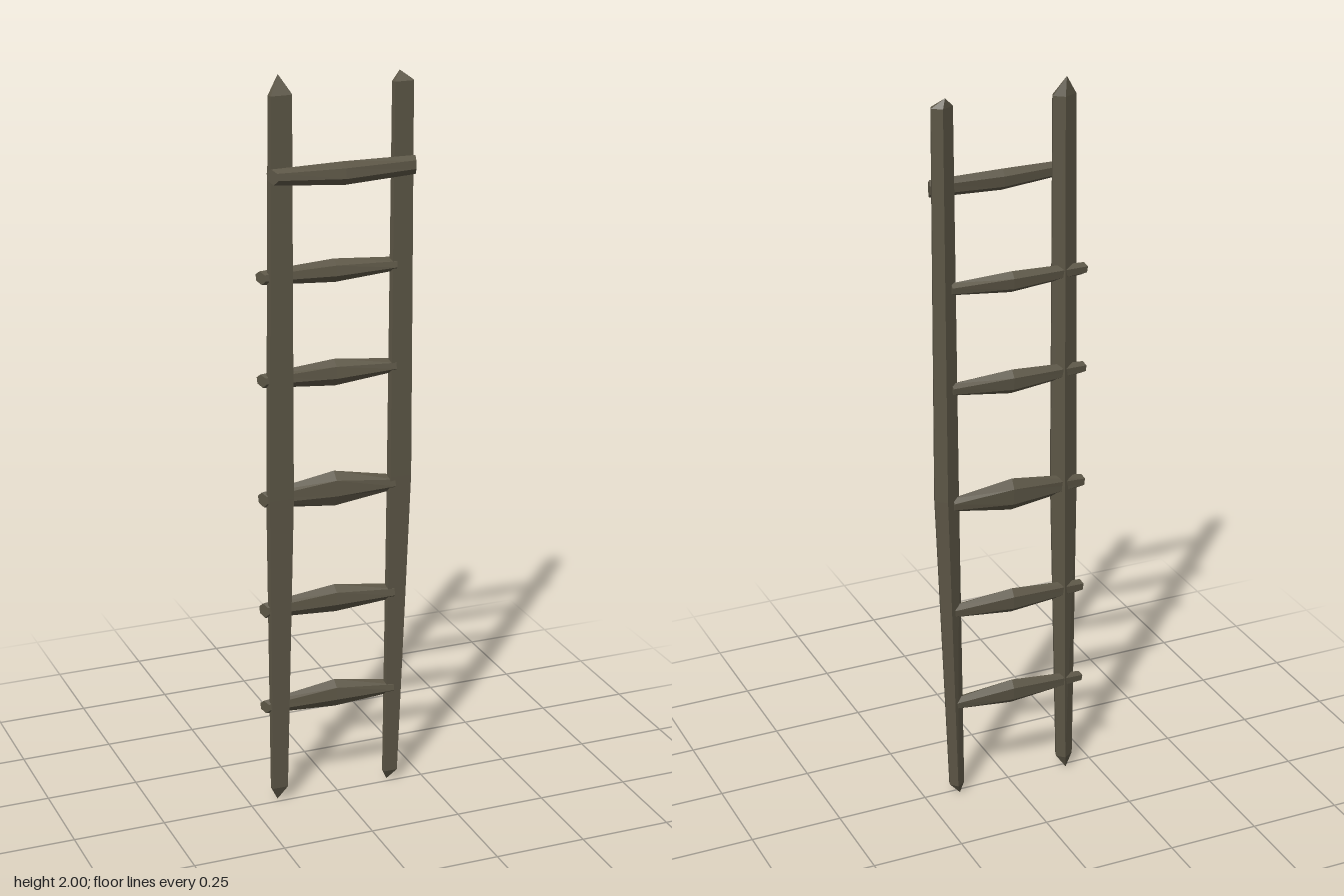
import * as THREE from 'three';

// Joins rings of points (counterclockwise seen from the far end) and closes both ends.
function loft(rings) {
  const pos = [];
  const tri = (a, b, c) => pos.push(...a, ...b, ...c);
  const n = rings[0].length;
  for (let r = 0; r < rings.length - 1; r++) {
    const a = rings[r], b = rings[r + 1];
    for (let i = 0; i < n; i++) {
      const j = (i + 1) % n;
      tri(a[i], a[j], b[j]);
      tri(a[i], b[j], b[i]);
    }
  }
  const first = rings[0], last = rings[rings.length - 1];
  for (let i = 1; i < n - 1; i++) {
    tri(first[0], first[i + 1], first[i]);
    tri(last[0], last[i], last[i + 1]);
  }
  const g = new THREE.BufferGeometry();
  g.setAttribute('position', new THREE.Float32BufferAttribute(pos, 3));
  g.computeVertexNormals();
  return g;
}

// Rail section: flat front, ridged back (x in half widths, z in units).
const RAIL = [[1, -0.012], [0.2, -0.035], [-1, -0.012], [-0.88, 0.003], [0.88, 0.003]];
const railRing = (y, cx, w, depth) =>
  RAIL.map(([x, z]) => [cx + x * w, y, -0.013 + (z + 0.013) * depth]);
const point = (x, y, z) => RAIL.map(() => [x, y, z]);

// Six-sided rung section at x, between heights lo and hi.
function rungRing(x, lo, hi, z, halfDepth, skew = 0) {
  const mid = (lo + hi) / 2, h = (hi - lo) / 2;
  const pts = [[1, -0.25], [0.55, 0.8], [-0.35, 1], [-1, 0.2], [-0.5, -0.85], [0.45, -1]];
  return pts.map(([py, pz]) => [x + skew * pz, mid + h * py, z + halfDepth * pz]);
}

export function createModel() {
  const group = new THREE.Group();
  const wood = new THREE.MeshStandardMaterial({ color: 0x5b5545, flatShading: true });
  const add = (name, geometry) => {
    const mesh = new THREE.Mesh(geometry, wood);
    mesh.name = name;
    group.add(mesh);
  };

  // Side rails, hewn to points at both ends
  add('rightRail', loft([
    point(-0.17, 0, -0.015),
    railRing(0.04, -0.166, 0.024, 0.8),
    railRing(0.88, -0.157, 0.038, 1),
    railRing(1.95, -0.149, 0.032, 0.85),
    point(-0.15, 2, -0.022),
  ]));
  add('leftRail', loft([
    point(0.152, 0, -0.015),
    railRing(0.03, 0.159, 0.021, 0.8),
    railRing(0.9, 0.18, 0.034, 1),
    railRing(1.96, 0.182, 0.029, 0.85),
    point(0.178, 1.985, -0.022),
  ]));

  // Rungs between the rails: [end low, end high, middle low, middle high]
  const rungs = [
    [0.265, 0.3, 0.25, 0.325],
    [0.545, 0.585, 0.53, 0.605],
    [0.86, 0.9, 0.835, 0.93],
    [1.19, 1.225, 1.17, 1.24],
    [1.465, 1.5, 1.45, 1.51],
  ];
  rungs.forEach(([lo, hi, midLo, midHi], i) => {
    add('rung' + (i + 1), loft([
      rungRing(-0.203, lo, hi, -0.015, 0.013, 0.009),
      rungRing(0, midLo, midHi, -0.02, 0.02),
      rungRing(0.165, lo, hi, -0.011, 0.017),
    ]));
  });

  // Top rung, fixed to the front of the rails
  add('topRung', loft([
    rungRing(-0.181, 1.73, 1.77, 0.019, 0.013, 0.011),
    rungRing(0.01, 1.713, 1.772, 0.017, 0.021),
    rungRing(0.208, 1.722, 1.77, 0.015, 0.013, -0.003),
  ]));

  return group;
}
